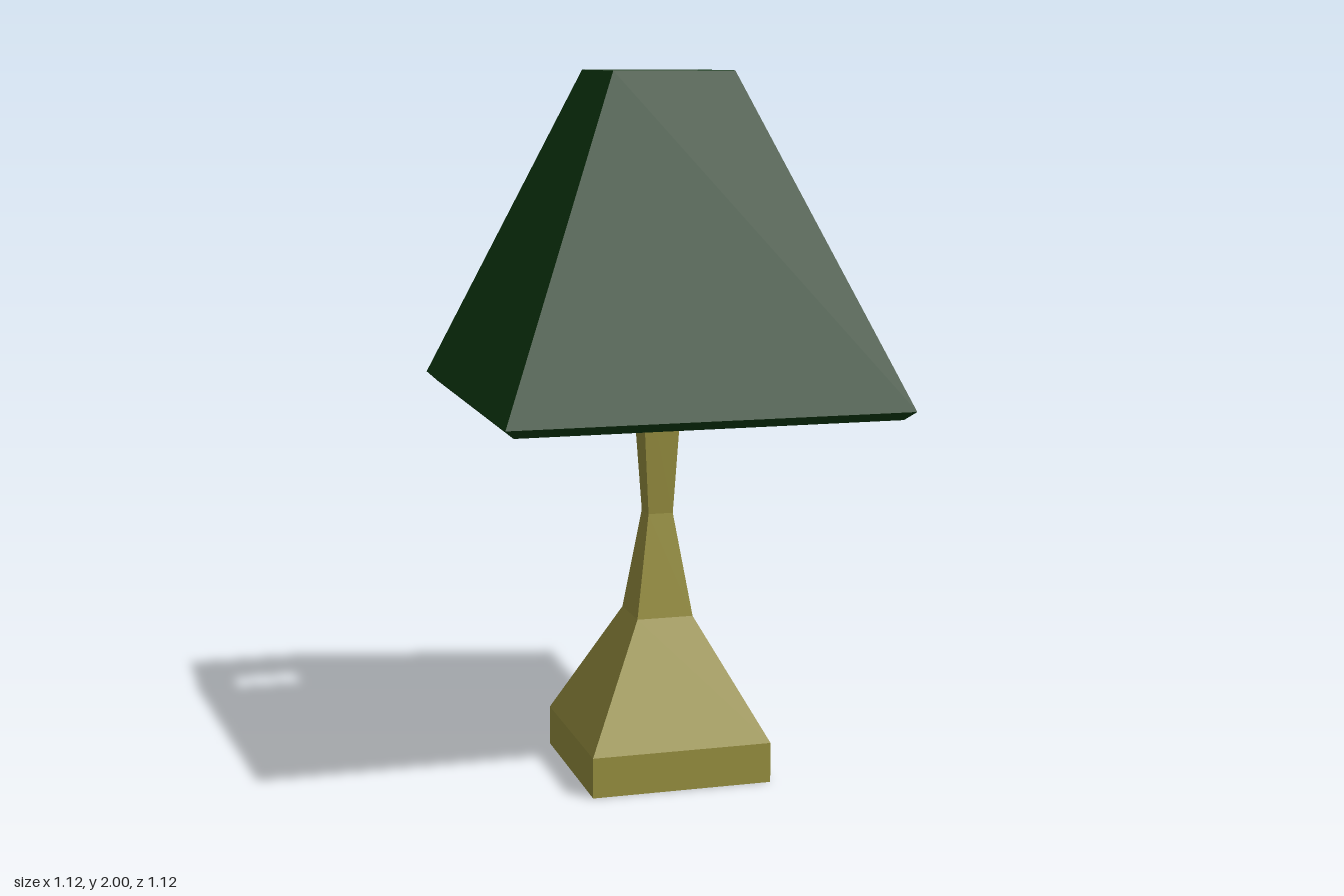
import * as THREE from 'three';

const flat = (name, color) => {
  const m = new THREE.MeshStandardMaterial({ color, flatShading: true });
  m.name = name;
  return m;
};

// Faceted turning: profile of [radius, height], listed counter-clockwise.
function turned(name, profile, sides, start, scale, material) {
  const points = profile.map(([r, y]) => new THREE.Vector2(r * scale, y));
  const mesh = new THREE.Mesh(new THREE.LatheGeometry(points, sides, start), material);
  mesh.name = name;
  return mesh;
}

// Square section, where the profile gives half the side length.
const squared = (name, profile, material) =>
  turned(name, profile, 4, Math.PI / 4, Math.SQRT2, material);

export function createModel() {
  const brass = flat('brass', 0x989040);
  const green = flat('shade green', 0x0f3c12);
  const yellow = flat('bulb yellow', 0xe6d424);

  const lamp = new THREE.Group();
  lamp.name = 'tableLamp';

  // Plinth and tapering stem
  lamp.add(squared('baseAndStem', [
    [0, 0], [0.26, 0], [0.26, 0.115], [0.082, 0.455],
    [0.036, 0.75], [0.064, 1.22], [0, 1.22],
  ], brass));

  // Octagonal socket under the bulb
  const turn = -0.12;
  lamp.add(turned('socket', [
    [0, 1.19], [0.085, 1.19], [0.1, 1.22], [0.1, 1.29], [0, 1.29],
  ], 8, turn, 1, brass));

  // Bulb
  lamp.add(turned('bulb', [
    [0.095, 1.28], [0.125, 1.34], [0.14, 1.39], [0.143, 1.43],
    [0.133, 1.49], [0.105, 1.545], [0.06, 1.585], [0, 1.6],
  ], 8, turn, 1, yellow));

  // Hollow pyramid shade with bevelled rims
  lamp.add(squared('shade', [
    [0.535, 1.075], [0.562, 1.1], [0.172, 2], [0.14, 1.97], [0.535, 1.075],
  ], green));

  return lamp;
}
